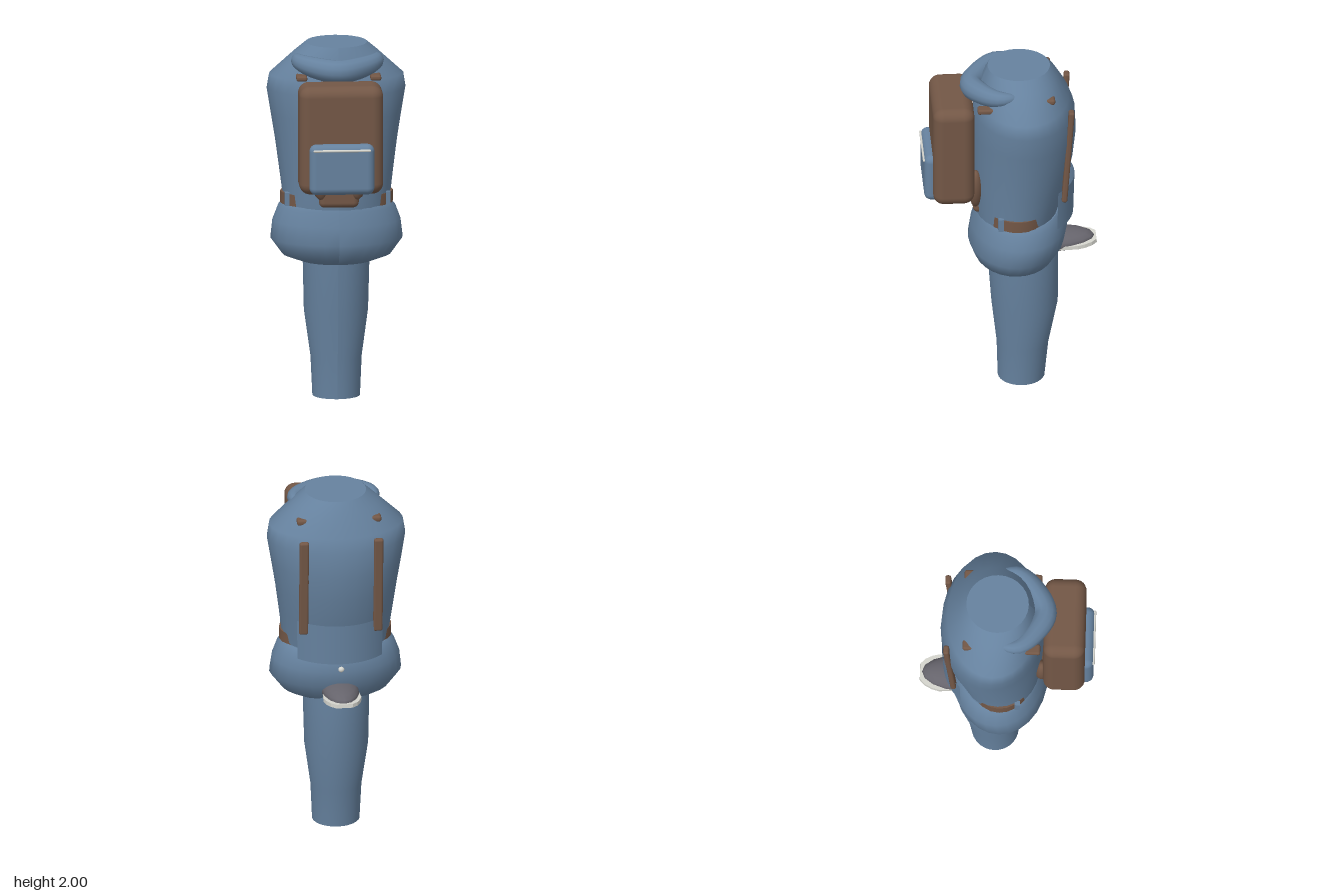
import * as THREE from 'three';
import { RoundedBoxGeometry } from 'three/addons/geometries/RoundedBoxGeometry.js';

const mat = (name, color, side = THREE.FrontSide) => {
  const m = new THREE.MeshStandardMaterial({ color, side });
  m.name = name;
  return m;
};

// Elliptical loft; rows run top to bottom as [y, halfWidth, zFront, zBack]
function loft(rows, sides = 28, open = false) {
  const n = rows.length - 1;
  const g = new THREE.CylinderGeometry(1, 1, 1, sides, n, open);
  const p = g.attributes.position;
  for (let i = 0; i < p.count; i++) {
    const [y, hw, zf, zb] = rows[Math.round((0.5 - p.getY(i)) * n)];
    p.setXYZ(i, p.getX(i) * hw, y, (zf + zb) / 2 + p.getZ(i) * (zf - zb) / 2);
  }
  g.computeVertexNormals();
  return g;
}

// Tube whose thickness swells in the middle and closes at both ends
function taperedTube(points, radius) {
  const path = new THREE.CatmullRomCurve3(points.map(q => new THREE.Vector3(...q)));
  const steps = 28, sides = 12;
  const g = new THREE.TubeGeometry(path, steps, radius, sides);
  const p = g.attributes.position, v = new THREE.Vector3();
  for (let i = 0; i < p.count; i++) {
    const t = Math.floor(i / (sides + 1)) / steps;
    const c = path.getPointAt(t);
    v.fromBufferAttribute(p, i).sub(c).multiplyScalar(Math.pow(Math.sin(Math.PI * t) + 1e-4, 0.45)).add(c);
    p.setXYZ(i, v.x, v.y, v.z);
  }
  g.computeVertexNormals();
  return g;
}

export function createModel() {
  const root = new THREE.Group();
  const blue = mat('blueCloth', 0x66829f);
  const blueOpen = mat('bluePanel', 0x66829f, THREE.DoubleSide);
  const brown = mat('brownLeather', 0x735746);
  const grey = mat('greyShoe', 0x66646c);
  const white = mat('offWhite', 0xd6d6cf);

  const add = (name, geo, material, pos = [0, 0, 0]) => {
    const m = new THREE.Mesh(geo, material);
    m.name = name;
    m.position.set(...pos);
    root.add(m);
    return m;
  };
  const ball = (name, material, pos, size) => {
    const m = add(name, new THREE.SphereGeometry(1, 16, 10), material, pos);
    m.scale.set(...size);
    return m;
  };

  // Body
  add('torso', loft([
    [2.0, 0.17, 0.116, -0.23], [1.945, 0.235, 0.14, -0.27], [1.82, 0.372, 0.18, -0.335],
    [1.74, 0.385, 0.198, -0.365], [1.6, 0.362, 0.2, -0.372], [1.45, 0.338, 0.2, -0.356],
    [1.3, 0.318, 0.195, -0.325], [1.15, 0.299, 0.19, -0.285], [1.05, 0.295, 0.18, -0.26],
  ]), blue);
  add('hips', loft([
    [1.105, 0.3, 0.18, -0.28], [1.08, 0.325, 0.19, -0.3], [1.0, 0.355, 0.21, -0.325],
    [0.9, 0.367, 0.225, -0.305], [0.81, 0.3, 0.19, -0.255], [0.772, 0.2, 0.12, -0.21],
  ]), blue);
  add('leg', loft([
    [0.85, 0.187, 0.118, -0.275], [0.77, 0.185, 0.116, -0.275], [0.48, 0.178, 0.095, -0.273],
    [0.22, 0.142, 0.066, -0.222], [0, 0.132, 0.06, -0.2],
  ]), blue);

  // Folded collar at the front of the shoulders
  add('collar', taperedTube([
    [-0.22, 1.925, -0.045], [-0.212, 1.912, 0.06], [-0.125, 1.895, 0.15], [0, 1.885, 0.208],
    [0.125, 1.895, 0.15], [0.212, 1.912, 0.06], [0.22, 1.925, -0.045],
  ], 0.064), blue);

  // Belt
  add('belt', loft([[1.165, 0.312, 0.17, -0.25], [1.1, 0.312, 0.17, -0.25]]), brown);

  // Pack with front pocket
  add('pack', new RoundedBoxGeometry(0.465, 0.61, 0.23, 4, 0.06), brown, [0, 1.535, 0.315]);
  add('packPocket', new RoundedBoxGeometry(0.36, 0.285, 0.1, 4, 0.04), blue, [0, 1.382, 0.427]);
  const zip = add('pocketZip', new THREE.CapsuleGeometry(0.007, 0.306, 4, 8), white, [0, 1.494, 0.478]);
  zip.rotation.z = Math.PI / 2;

  // Pouch below the pack
  add('pouch', new RoundedBoxGeometry(0.22, 0.16, 0.07, 3, 0.03), brown, [0, 1.19, 0.168]);

  // Paired fittings
  for (const s of [-1, 1]) {
    const lobe = ball('pouchLobe', brown, [s * 0.115, 1.28, 0.19], [0.05, 0.125, 0.04]);
    lobe.rotation.z = -s * 0.15;
    add('beltLoop', new THREE.BoxGeometry(0.025, 0.075, 0.03), blue, [s * 0.28, 1.138, 0.06]);
    add('frontStrapEnd', new RoundedBoxGeometry(0.06, 0.03, 0.1, 3, 0.012), brown, [s * 0.205, 1.84, 0.135]);
    add('topStrapEnd', new RoundedBoxGeometry(0.06, 0.035, 0.07, 3, 0.014), brown, [s * 0.205, 1.888, -0.21]);
    const strap = add('backStrap', new RoundedBoxGeometry(0.052, 0.58, 0.032, 3, 0.012), brown,
      [s * 0.207, 1.525, -0.316]);
    strap.rotation.x = -0.072;
  }

  // Curved panel wrapped around the lower back
  add('backPanel', new THREE.CylinderGeometry(0.327, 0.32, 0.235, 16, 1, true, Math.PI - 0.824, 1.648),
    blueOpen, [0, 1.185, -0.038]);
  ball('button', white, [0, 1.02, -0.325], [0.017, 0.016, 0.014]);

  // Shoe pointing backwards
  const half = [[0.09, 0.18], [0.105, 0.38], [0.095, 0.42], [0.075, 0.46], [0.045, 0.488]];
  const outline = [...half, ...half.map(([x, y]) => [-x, y]).reverse()];
  const soleGeo = new THREE.ExtrudeGeometry(
    new THREE.Shape(outline.map(q => new THREE.Vector2(...q))), { depth: 0.022, bevelEnabled: false });
  soleGeo.rotateX(-Math.PI / 2);
  const sole = add('shoeSole', soleGeo, white, [0, 0.826, 0]);
  sole.rotation.x = 0.07;
  const toe = ball('shoeToe', grey, [0, 0.868, -0.26], [0.104, 0.06, 0.218]);
  toe.rotation.x = 0.04;

  return root;
}
